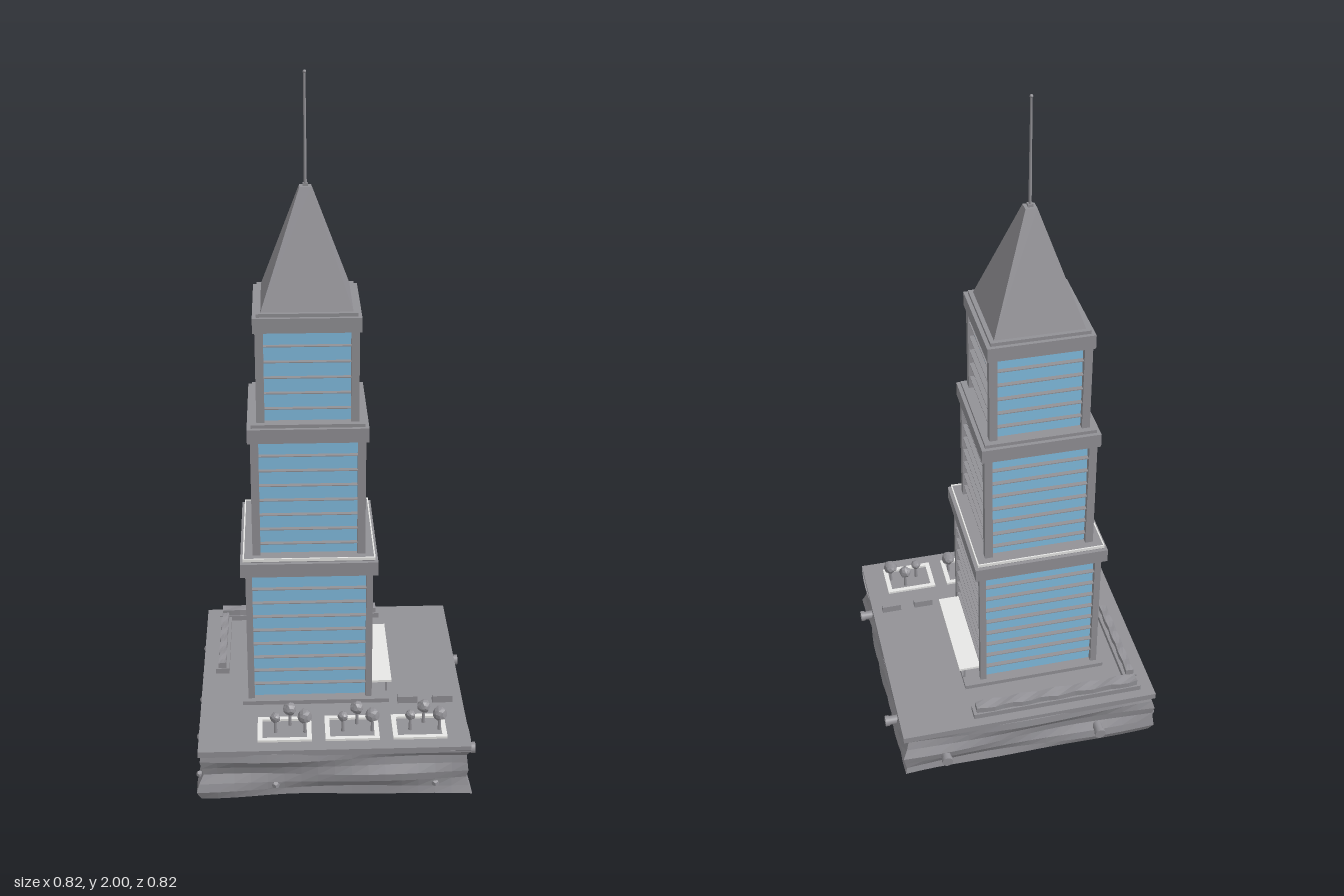
import * as THREE from 'three';

const mat = (name, color) => {
  const m = new THREE.MeshStandardMaterial({ color });
  m.name = name;
  return m;
};

export function createModel() {
  const concrete = mat('concrete', 0x929196);
  const glass = mat('glass', 0x82bde0);
  const white = mat('pale stone', 0xededeb);

  const model = new THREE.Group();
  model.name = 'skyscraperOnBlock';

  const add = (parent, name, geo, material, x = 0, y = 0, z = 0) => {
    const m = new THREE.Mesh(geo, material);
    m.name = name;
    m.position.set(x, y, z);
    parent.add(m);
    return m;
  };
  // box given by its limits
  const span = (parent, name, material, x0, x1, y0, y1, z0, z1) =>
    add(parent, name, new THREE.BoxGeometry(x1 - x0, y1 - y0, z1 - z0), material,
      (x0 + x1) / 2, (y0 + y1) / 2, (z0 + z1) / 2);
  // square block centred on the parent's axis
  const block = (parent, name, material, half, y0, y1) =>
    span(parent, name, material, -half, half, y0, y1, -half, half);
  const group = (name, x = 0, y = 0, z = 0) => {
    const g = new THREE.Group();
    g.name = name;
    g.position.set(x, y, z);
    model.add(g);
    return g;
  };
  const facet = (geo) => {
    const g = geo.index ? geo.toNonIndexed() : geo;
    g.computeVertexNormals();
    return g;
  };

  // Ground block: flat deck over wavy, layered rock
  const ground = group('groundBlock', -0.01, 0, 0.01);
  const rockGeo = new THREE.BoxGeometry(0.77, 0.148, 0.77, 16, 6, 16);
  const p = rockGeo.attributes.position;
  for (let i = 0; i < p.count; i++) {
    const x = p.getX(i), y = p.getY(i), z = p.getZ(i);
    const wave = 0.006 * Math.sin(9 * x + 40 * y + 2 * z) + 0.006 * Math.sin(17 * z - 75 * y + 5 * x);
    if (Math.abs(x) > 0.384) p.setX(i, x + Math.sign(x) * wave);
    if (Math.abs(z) > 0.384) p.setZ(i, z + Math.sign(z) * wave);
    if (y < -0.07) p.setY(i, y + 0.004 * Math.sin(14 * x + 9 * z));
  }
  add(ground, 'rockBody', facet(rockGeo), concrete, 0, 0.08, 0);
  block(ground, 'deck', concrete, 0.39, 0.148, 0.167);

  // Stones stuck in the sides: x, y, z, radius
  [[-0.4, 0.06, -0.35, 0.011], [-0.4, 0.1, -0.25, 0.012], [-0.4, 0.05, -0.17, 0.014],
    [-0.4, 0.09, 0.025, 0.013], [-0.4, 0.05, 0.1, 0.014], [-0.4, 0.1, 0.23, 0.013],
    [-0.4, 0.06, 0.355, 0.01], [-0.18, 0.045, 0.393, 0.012],
    [0.28, 0.04, 0.393, 0.012]].forEach(([x, y, z, r]) =>
    add(model, 'stone', new THREE.DodecahedronGeometry(r), concrete, x, y, z));

  // Drain pipes with a collar, two on the left side and two at the back
  const pipe = (x, z, alongX) => {
    const g = group('drainPipe', x, 0.066, z);
    if (alongX) g.rotation.z = -Math.PI / 2;
    else g.rotation.x = -Math.PI / 2;
    add(g, 'pipe', new THREE.CylinderGeometry(0.014, 0.014, 0.06, 14), concrete);
    add(g, 'collar', new THREE.CylinderGeometry(0.0165, 0.0165, 0.012, 14), concrete, 0, 0.024, 0);
  };
  [-0.207, 0.267].forEach((z) => pipe(0.38, z, true));
  [-0.22, 0.255].forEach((x) => pipe(x, -0.38, false));

  // Tower
  const tower = group('tower', -0.075, 0, -0.028);
  span(tower, 'plinth', concrete, -0.2, 0.235, 0.165, 0.18, -0.2, 0.2);

  const FLOOR = 0.046;
  const tier = (half, post, ledge, y0, y1) => {
    block(tower, 'glassCore', glass, half - 0.017, y0, y1);
    for (let y = y0 + FLOOR; y < y1 - 0.01; y += FLOOR)
      block(tower, 'floorSlab', concrete, half - 0.003, y - 0.0012, y + 0.0012);
    for (const sx of [-1, 1]) for (const sz of [-1, 1]) {
      const c = half - post / 2;
      add(tower, 'cornerPost', new THREE.BoxGeometry(post, y1 - y0, post), concrete,
        sx * c, (y0 + y1) / 2, sz * c);
    }
    block(tower, 'ledge', concrete, ledge, y1, y1 + 0.042);
    block(tower, 'ledgeRim', concrete, ledge - 0.011, y1 + 0.042, y1 + 0.052);
  };
  tier(0.184, 0.019, 0.198, 0.18, 0.6);
  tier(0.162, 0.023, 0.17, 0.64, 1.007);
  tier(0.143, 0.023, 0.149, 1.052, 1.324);

  // Pale trim around the lowest terrace
  for (const s of [-1, 1]) {
    add(tower, 'terraceTrim', new THREE.BoxGeometry(0.38, 0.009, 0.004), white, 0, 0.6505, s * 0.188);
    add(tower, 'terraceTrim', new THREE.BoxGeometry(0.004, 0.009, 0.38), white, s * 0.188, 0.6505, 0);
  }

  // Pyramid roof, foot and antenna
  const roof = facet(new THREE.CylinderGeometry(0.016 * Math.SQRT2, 0.126 * Math.SQRT2, 0.316, 4).rotateY(Math.PI / 4));
  add(tower, 'pyramidRoof', roof, concrete, 0, 1.534, 0);
  block(tower, 'antennaFoot', concrete, 0.007, 1.69, 1.7);
  add(tower, 'antenna', new THREE.CylinderGeometry(0.003, 0.0045, 0.3, 8), concrete, 0, 1.845, 0);
  add(tower, 'antennaTip', new THREE.SphereGeometry(0.005, 8, 6), concrete, 0, 1.995, 0);

  // Entrance canopy
  span(model, 'canopy', white, 0.105, 0.17, 0.21, 0.217, -0.19, 0.13);
  [-0.186, -0.03, 0.126].forEach((z) =>
    span(model, 'canopyPost', concrete, 0.151, 0.157, 0.178, 0.21, z - 0.003, z + 0.003));

  // Planters with clipped hedges at the back and on the right side
  const hedge = (x0, x1, z0, z1) => {
    span(model, 'planterBox', concrete, x0, x1, 0.165, 0.184, z0, z1);
    const w = x1 - x0 - 0.02, d = z1 - z0 - 0.01;
    const geo = new THREE.BoxGeometry(w, 0.02, d, w > d ? 18 : 2, 1, w > d ? 2 : 12);
    const q = geo.attributes.position;
    for (let i = 0; i < q.count; i++) {
      const n = Math.sin(61 * q.getX(i) + 83 * q.getZ(i));
      q.setY(i, q.getY(i) + 0.002 * n);
      if (w > d) q.setZ(i, q.getZ(i) + 0.002 * n);
      else q.setX(i, q.getX(i) + 0.002 * n);
    }
    add(model, 'hedge', facet(geo), concrete, (x0 + x1) / 2, 0.192, (z0 + z1) / 2);
  };
  hedge(-0.36, 0.16, -0.352, -0.31);
  hedge(-0.362, -0.32, -0.304, 0);

  // Benches
  [0.215, 0.319].forEach((x) =>
    span(model, 'bench', concrete, x - 0.03, x + 0.03, 0.165, 0.189, 0.161, 0.179));

  // Tree plots: pale kerb, three trees each
  const crownGeo = (r) => {
    const geo = new THREE.IcosahedronGeometry(r, 1);
    const q = geo.attributes.position;
    for (let i = 0; i < q.count; i++) {
      const x = q.getX(i) / r, y = q.getY(i) / r, z = q.getZ(i) / r;
      const k = 1 + 0.09 * Math.sin(5 * x + 7 * y + 4 * z);
      q.setXYZ(i, x * r * k, y * r * k, z * r * k);
    }
    return facet(geo);
  };
  [-0.1525, 0.0425, 0.2375].forEach((cx) => {
    const plot = group('treePlot', cx, 0.167, 0.302);
    for (const s of [-1, 1]) {
      add(plot, 'kerb', new THREE.BoxGeometry(0.156, 0.008, 0.013), white, 0, 0.003, s * 0.051);
      add(plot, 'kerb', new THREE.BoxGeometry(0.014, 0.008, 0.09), white, s * 0.071, 0.003, 0);
    }
    [[-0.026, 0.008, 0.015, 0.05], [0.016, -0.026, 0.019, 0.056], [0.059, 0.01, 0.021, 0.055]].forEach(([x, z, r, h], i) => {
      add(plot, 'trunk', new THREE.CylinderGeometry(0.003, 0.006, h, 6), concrete, x, h / 2, z);
      const crown = add(plot, 'treeCrown', crownGeo(r), concrete, x, h, z);
      crown.rotation.set(i, i * 2, 0);
    });
  });

  return model;
}
